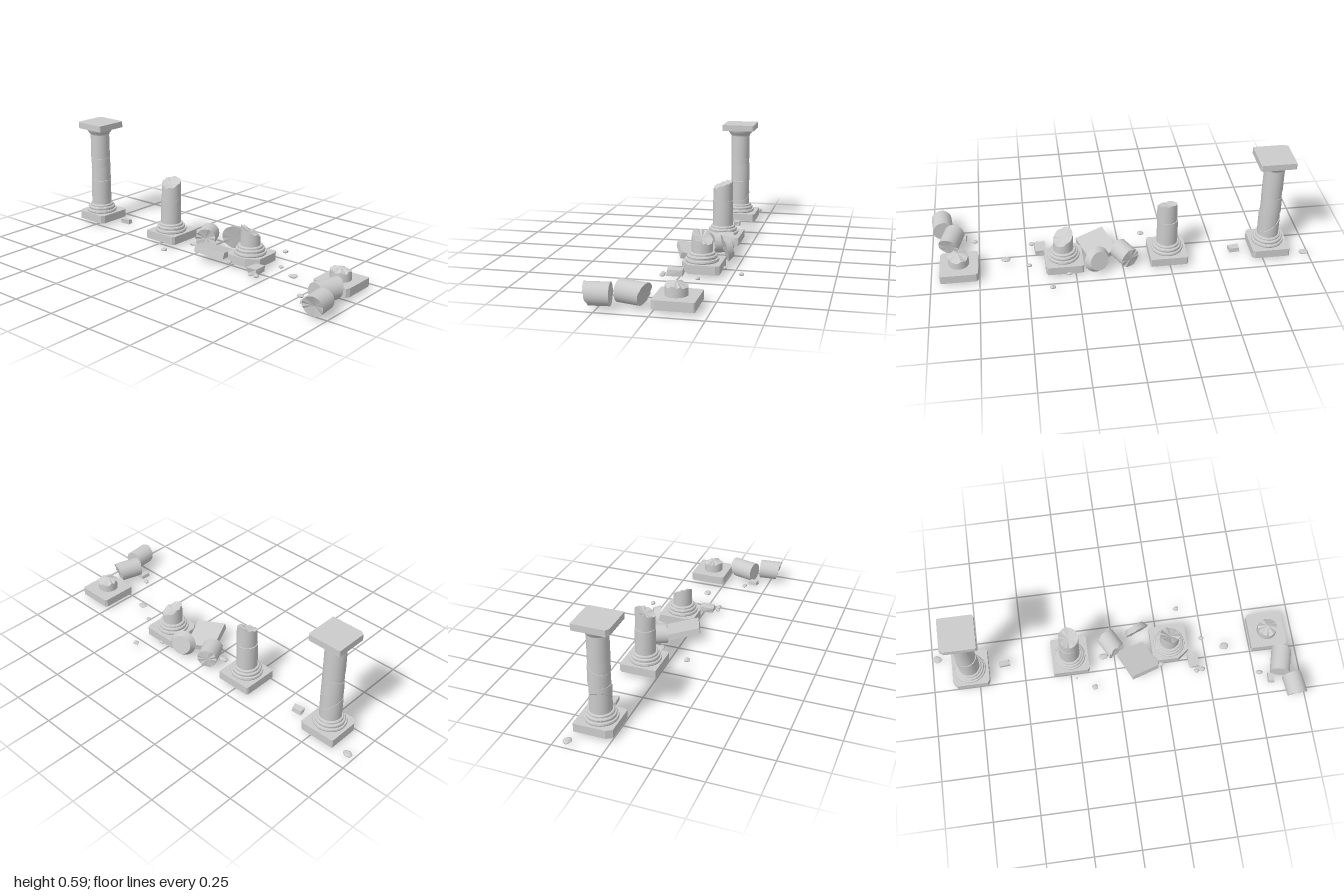
import * as THREE from 'three';
import { toCreasedNormals } from 'three/addons/utils/BufferGeometryUtils.js';

const stone = new THREE.MeshStandardMaterial({ color: 0xcccccc });
const rough = new THREE.MeshStandardMaterial({ color: 0xcccccc, flatShading: true });
const UP = new THREE.Vector3(0, 1, 0);
const GROUND = 0.015, AXIS_Z = -0.09;

// Repeatable noise in -1..1, so shared corners move together
function noise(a, b, c) {
  const s = Math.sin(a * 127.1 + b * 311.7 + c * 74.7) * 43758.5453;
  return (s - Math.floor(s)) * 2 - 1;
}

function add(parent, name, geometry, material, x = 0, y = 0, z = 0) {
  const mesh = new THREE.Mesh(geometry, material);
  mesh.name = name;
  mesh.position.set(x, y, z);
  parent.add(mesh);
  return mesh;
}

// Jagged fracture surface: rule(x, z) plus ragged rim and a displaced centre
const fracture = (rule, jag, centre) => (x, z) => {
  const r = Math.hypot(x, z);
  if (r < 1e-4) return rule(0, 0) + centre;
  const a = Math.round(Math.atan2(z, x) * 12 / Math.PI);
  return rule(x, z) + jag * noise(((a + 24) % 24), 3, 1);
};
const flat = (h) => () => h;

// Drum of a shaft whose two ends follow height rules
function drumGeometry(rBottom, rTop, bottom, top) {
  const g = new THREE.CylinderGeometry(rTop, rBottom, 1, 24, 1);
  const p = g.attributes.position;
  for (let i = 0; i < p.count; i++) {
    const x = p.getX(i), z = p.getZ(i);
    p.setY(i, p.getY(i) > 0 ? top(x, z) : bottom(x, z));
  }
  return toCreasedNormals(g, 0.4);
}

// Square slab with each corner cut back by its own amount [dx, dz]
function slabGeometry(half, height, cuts) {
  const shape = new THREE.Shape();
  const corners = [[-1, -1], [1, -1], [1, 1], [-1, 1]];
  corners.forEach(([sx, sy], i) => {
    const [cx, cy] = cuts[i];
    const a = [sx * half, sy * (half - cy)], b = [sx * (half - cx), sy * half];
    (i % 2 ? [b, a] : [a, b]).forEach(([x, y], k) => {
      if (i === 0 && k === 0) shape.moveTo(x, y);
      else shape.lineTo(x, y);
    });
  });
  const g = new THREE.ExtrudeGeometry(shape, { depth: height, bevelEnabled: false });
  return g.rotateX(-Math.PI / 2); // shape y becomes -z
}

// Moulded rings between plinth and shaft
function baseRings() {
  const pts = [[0.082, 0.058], [0.085, 0.066], [0.083, 0.074], [0.075, 0.076], [0.075, 0.082],
    [0.077, 0.087], [0.074, 0.092], [0.066, 0.094], [0.066, 0.103], [0.062, 0.107], [0.05, 0.107]];
  const g = new THREE.LatheGeometry(pts.map(([x, y]) => new THREE.Vector2(x, y)), 32);
  return toCreasedNormals(g, 0.6);
}

// Column: plinth, optional rings, then a stack of drums [rBottom, rTop, bottom, top, dx, dz]
function column(root, name, x, cuts, rings, drums) {
  const col = new THREE.Group();
  col.name = name;
  col.position.set(x, 0, AXIS_Z);
  root.add(col);
  add(col, 'plinth', slabGeometry(0.099, 0.045, cuts), rough, 0, GROUND, -0.005);
  if (rings) add(col, 'baseRings', baseRings(), stone);
  drums.forEach(([rb, rt, b, t, dx, dz]) =>
    add(col, 'shaftDrum', drumGeometry(rb, rt, b, t), stone, dx, 0, dz));
  return col;
}

// Drum lying on the ground along a given axis
function fallenDrum(root, pos, axis, r, bottom, top) {
  const m = add(root, 'fallenDrum', drumGeometry(r, r, bottom, top), stone, ...pos);
  m.quaternion.setFromUnitVectors(UP, new THREE.Vector3(...axis).normalize());
}

// Rubble: jittered rounded rock or block
function rubble(root, name, geometry, x, z, sx, sy, sz, yaw) {
  const p = geometry.attributes.position;
  for (let i = 0; i < p.count; i++) {
    const a = Math.round(p.getX(i) * 50), b = Math.round(p.getY(i) * 50), c = Math.round(p.getZ(i) * 50);
    const k = 1 + 0.13 * noise(a + x * 10, b, c + z * 10);
    p.setXYZ(i, p.getX(i) * k, p.getY(i) * k, p.getZ(i) * k);
  }
  geometry.scale(sx, sy, sz);
  add(root, name, geometry, rough, x, GROUND + sy * 0.9, z).rotation.y = yaw;
}

export function createModel() {
  const root = new THREE.Group();
  root.name = 'ruinedColonnade';

  // Complete column, cracked through its lower drums
  const lowCrack = (x, z) => 0.175 - 0.8 * x + 0.2 * z;
  const highCrack = (x, z) => 0.335 + 0.1 * x - 0.35 * z;
  const whole = column(root, 'wholeColumn', -0.79,
    [[0.02, 0.03], [0.012, 0.02], [0.015, 0.01], [0.005, 0.005]], true, [
      [0.056, 0.056, flat(0.1), lowCrack, 0, 0],
      [0.055, 0.055, lowCrack, flat(0.249), 0.002, 0.001],
      [0.055, 0.054, flat(0.25), highCrack, -0.001, -0.002],
      [0.053, 0.053, highCrack, flat(0.38), 0.001, 0],
      [0.054, 0.053, flat(0.381), flat(0.522), 0, 0]]);
  const echinus = [[0.04, 0.518], [0.055, 0.519], [0.057, 0.525], [0.064, 0.533], [0.073, 0.547], [0.075, 0.56]];
  add(whole, 'echinus', toCreasedNormals(new THREE.LatheGeometry(
    echinus.map(([x, y]) => new THREE.Vector2(x, y)), 32), 0.6), stone);
  add(whole, 'abacus', slabGeometry(0.092, 0.034, [[0.02, 0.012], [0.004, 0.004], [0.006, 0.01], [0.004, 0.004]]),
    rough, 0.005, 0.556, 0);

  // Column broken off at mid height
  column(root, 'halfColumn', -0.243, [[0.004, 0.004], [0.01, 0.015], [0.004, 0.004], [0.006, 0.01]], true, [
    [0.055, 0.055, flat(0.1), flat(0.244), 0, 0],
    [0.053, 0.052, flat(0.245), fracture((x, z) => 0.334 - 0.1 * x - 0.4 * z, 0.006, -0.012), 0.003, 0]]);

  // Column broken off just above its rings, plinth corners lost
  column(root, 'brokenColumn', 0.307, [[0.025, 0.035], [0.06, 0.045], [0.012, 0.02], [0.008, 0.006]], true, [
    [0.053, 0.052, flat(0.1), fracture((x, z) => 0.18 - 0.35 * x + 0.35 * z, 0.007, -0.012), 0, 0]]);

  // Bare plinth with a stub
  column(root, 'stubColumn', 0.853, [[0.006, 0.01], [0.01, 0.02], [0.005, 0.005], [0.01, 0.012]], false, [
    [0.054, 0.053, flat(0.055), fracture(flat(0.106), 0.009, 0.021), 0, 0]]);

  // Fallen drums
  fallenDrum(root, [0.893, 0.07, 0.1025], [-0.27, 0, 1], 0.054,
    fracture((x, z) => -0.0625 + 0.27 * z, 0.003, 0.005), flat(0.0625));
  fallenDrum(root, [0.943, 0.07, 0.241], [0.1, 0, 1], 0.054,
    flat(-0.054), fracture((x, z) => 0.054 - 0.27 * z, 0.004, -0.015));
  fallenDrum(root, [-0.01, 0.069, -0.125], [0.46, 0, 0.89], 0.053,
    fracture(flat(-0.056), 0.005, -0.004), fracture((x, z) => 0.054 - 0.1 * x, 0.006, -0.014));

  // Fallen capital: tilted abacus and its echinus standing on edge
  const yaw = new THREE.Quaternion().setFromAxisAngle(UP, 0.387);
  const tilt = new THREE.Quaternion().setFromEuler(new THREE.Euler(-0.22, 0, -0.15));
  const slab = add(root, 'fallenAbacus', new THREE.BoxGeometry(0.16, 0.034, 0.176), rough, 0.124, 0.048, -0.016);
  slab.quaternion.copy(yaw).multiply(tilt);
  fallenDrum(root, [0.14, 0.08, -0.173], [-0.38, 0.25, -0.89], 1,
    flat(0), flat(0));
  const leaning = root.children[root.children.length - 1];
  leaning.name = 'fallenEchinus';
  leaning.geometry = drumGeometry(0.07, 0.052, fracture(flat(0), 0.003, 0), flat(0.034));

  // Rounded rocks: x, z, half width, half depth
  [[-0.972, -0.18, 0.026, 0.02], [-0.128, 0.096, 0.018, 0.016], [-0.22, -0.0 + 0.032, 0.007, 0.006],
    [0.38, -0.3, 0.016, 0.013], [0.49, -0.107, 0.015, 0.011], [0.61, -0.043, 0.025, 0.02],
    [0.468, 0.073, 0.017, 0.014], [0.437, 0.078, 0.014, 0.012], [0.775, 0.134, 0.02, 0.012],
    [-0.062, -0.073, 0.027, 0.018], [0.25, 0.012, 0.014, 0.012], [0.285, -0.2, 0.016, 0.01]]
    .forEach(([x, z, sx, sz], i) => rubble(root, 'rock', new THREE.IcosahedronGeometry(1, 1),
      x, z, sx, Math.min(0.009, sz * 0.7), sz, i % 2 ? 0.15 : -0.15));

  // Angular blocks: x, z, half sizes, yaw
  [[-0.605, -0.107, 0.027, 0.012, 0.016, 0.1], [0.426, 0.018, 0.028, 0.016, 0.04, 0.05],
    [0.833, 0.172, 0.017, 0.01, 0.026, -0.1]]
    .forEach(([x, z, sx, sy, sz, turn]) => rubble(root, 'block', new THREE.BoxGeometry(2, 2, 2),
      x, z, sx, sy, sz, turn));

  return root;
}
